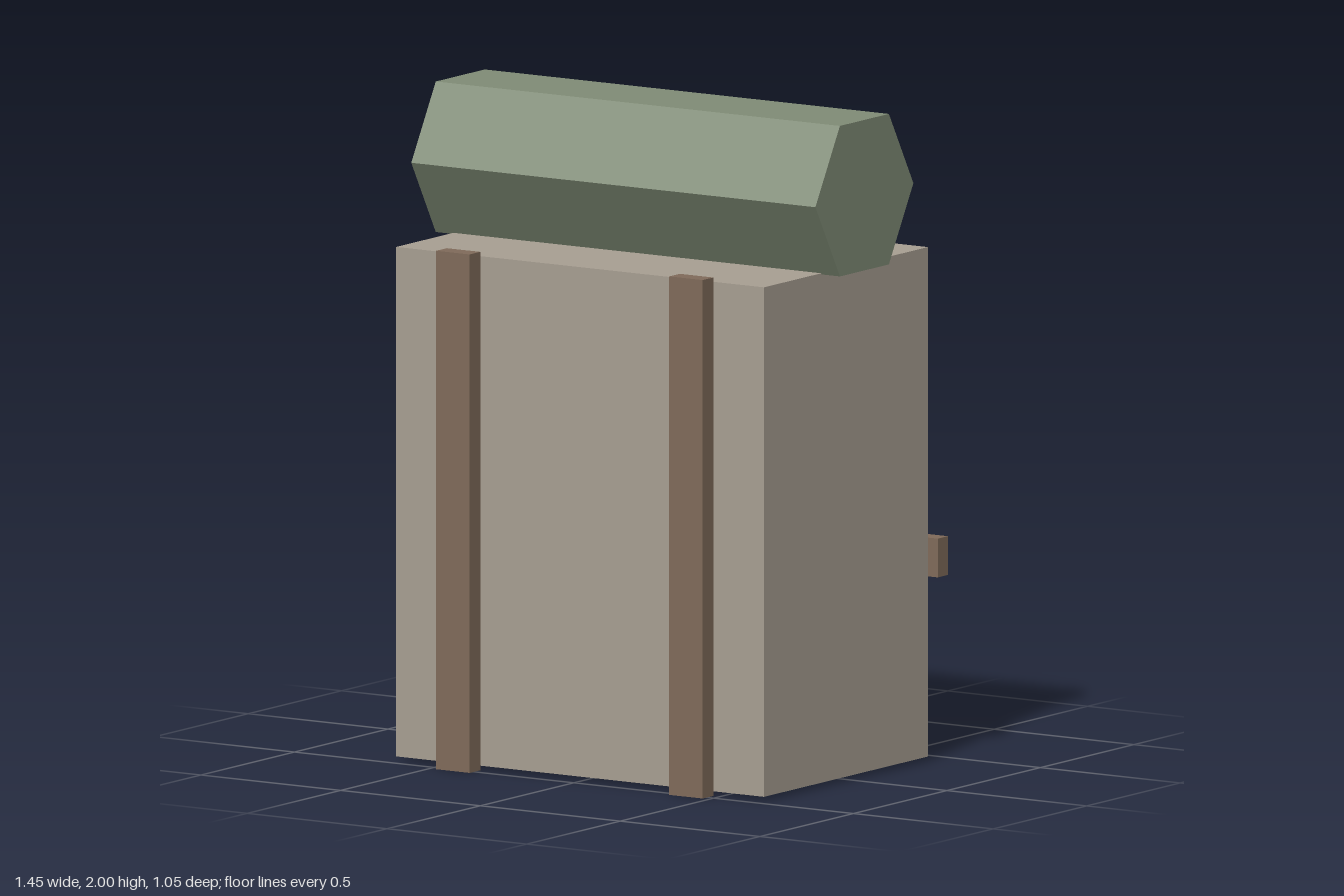
import * as THREE from 'three';

const material = (color) => new THREE.MeshStandardMaterial({ color, flatShading: true });

export function createModel() {
  const model = new THREE.Group();
  model.name = 'backpack';
  const canvas = material(0xa89f92);
  const leather = material(0x806b5a);
  const cloth = material(0x808c76);
  const metal = material(0x7f8585);

  // Box given by its lower and upper corners
  const addBox = (name, mat, [x0, y0, z0], [x1, y1, z1]) => {
    const mesh = new THREE.Mesh(new THREE.BoxGeometry(x1 - x0, y1 - y0, z1 - z0), mat);
    mesh.position.set((x0 + x1) / 2, (y0 + y1) / 2, (z0 + z1) / 2);
    mesh.name = name;
    model.add(mesh);
  };

  // Main bag
  addBox('bag', canvas, [-0.658, 0.014, -0.41], [0.658, 1.55, 0.467]);

  // Vertical straps, a pair on the front and a pair on the back
  for (const side of [-1, 1]) {
    const x = side * 0.417;
    const label = side > 0 ? 'left' : 'right';
    addBox(label + 'FrontStrap', leather, [x - 0.06, 0, 0.467], [x + 0.06, 1.563, 0.524]);
    addBox(label + 'BackStrap', leather, [x - 0.06, 0, -0.462], [x + 0.06, 1.563, -0.406]);
  }

  // Waist belt with its buckle
  addBox('belt', leather, [-0.669, 0.55, -0.5], [0.669, 0.667, -0.446]);
  addBox('buckle', metal, [0.329, 0.51, -0.527], [0.503, 0.705, -0.485]);

  // Six-sided bedroll lying across the top
  const bedroll = new THREE.Mesh(new THREE.CylinderGeometry(0.262, 0.262, 1.446, 6), cloth);
  bedroll.rotation.z = Math.PI / 2;
  bedroll.position.set(0, 1.773, 0.027);
  bedroll.name = 'bedroll';
  model.add(bedroll);

  return model;
}
